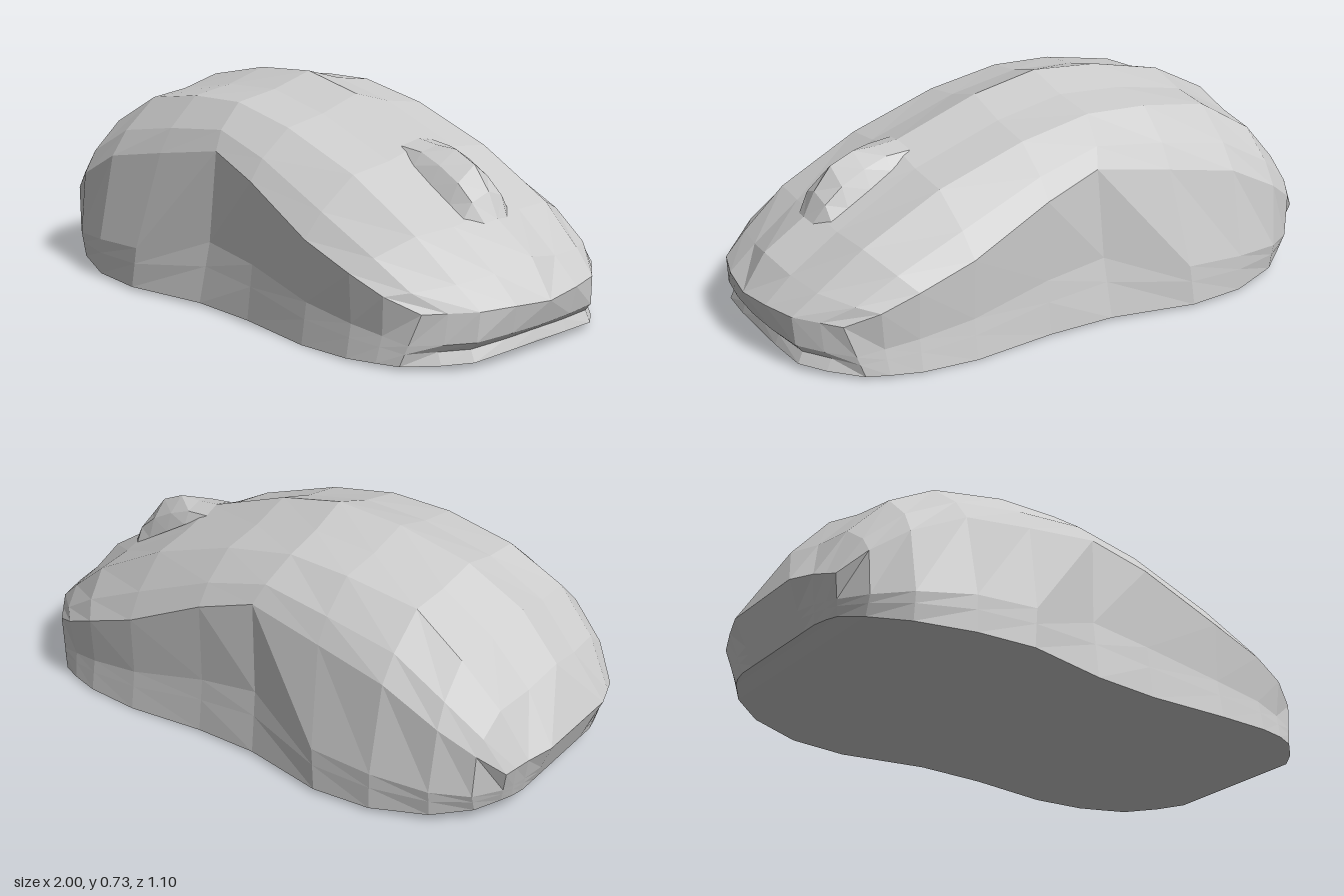
import * as THREE from 'three';

const V = (p) => new THREE.Vector3(...p);
const mirror = (p) => new THREE.Vector3(p.x, p.y, -p.z);

// Skin between neighbouring rows of points; optionally repeated on the other side
function skin(name, rows, mirrored = true) {
  const pos = [];
  const tri = (...pts) => pts.forEach((p) => pos.push(p.x, p.y, p.z));
  const quad = (a, b, c, d) => { tri(a, b, c); tri(a, c, d); };
  for (let r = 0; r < rows.length - 1; r++) {
    for (let s = 0; s < rows[r].length - 1; s++) {
      const [a, b, c, d] = [rows[r][s], rows[r][s + 1], rows[r + 1][s + 1], rows[r + 1][s]];
      quad(a, b, c, d);
      if (mirrored) quad(...[a, d, c, b].map(mirror));
    }
  }
  const geo = new THREE.BufferGeometry();
  geo.setAttribute('position', new THREE.Float32BufferAttribute(pos, 3));
  geo.computeVertexNormals();
  const mesh = new THREE.Mesh(geo, new THREE.MeshStandardMaterial({ color: 0xcccccc, flatShading: true }));
  mesh.name = name;
  return mesh;
}

// Row part-way between two rows, pushed by (dy, dz) except at its ends
const between = (a, b, t, dy, dz) => a.map((p, i) => {
  const q = p.clone().lerp(b[i], t);
  if (i > 0 && i < a.length - 1) { q.y += dy; q.z += dz; }
  return q;
});

export function createModel() {
  const group = new THREE.Group();
  group.name = 'computerMouse';

  // Lengthwise rails of the left half, from nose to tail
  const ridge = [
    [1, 0.17, 0], [0.92, 0.29, 0], [0.75, 0.4, 0], [0.46, 0.57, 0], [0.15, 0.68, 0], [-0.08, 0.725, 0],
    [-0.32, 0.705, 0], [-0.58, 0.645, 0], [-0.78, 0.54, 0], [-0.91, 0.39, 0], [-1, 0.2, 0],
  ].map(V);
  const shoulder = [
    [0.95, 0.18, 0.26], [0.87, 0.25, 0.28], [0.72, 0.37, 0.3], [0.45, 0.51, 0.3], [0.15, 0.61, 0.3], [-0.1, 0.655, 0.295],
    [-0.32, 0.645, 0.3], [-0.57, 0.6, 0.285], [-0.75, 0.49, 0.31], [-0.88, 0.35, 0.29], [-0.97, 0.19, 0.26],
  ].map(V);
  const side = [
    [0.84, 0.175, 0.395], [0.74, 0.22, 0.455], [0.62, 0.27, 0.48], [0.43, 0.335, 0.485], [0.15, 0.46, 0.46], [-0.05, 0.52, 0.435],
    [-0.32, 0.47, 0.455], [-0.57, 0.42, 0.47], [-0.76, 0.32, 0.455], [-0.87, 0.24, 0.405], [-0.94, 0.17, 0.34],
  ].map(V);
  const inner = between(ridge, shoulder, 0.5, -0.01, 0);
  inner[0].set(0.985, 0.18, 0.14);
  inner[10].set(-1, 0.2, 0.17);
  const upper = between(shoulder, side, 0.55, 0, 0.022);

  // Domed top
  const rails = [ridge, inner, shoulder, upper, side];
  group.add(skin('topShell', rails));

  // Skirt around the left half: lip, pinched belt, ledge and bottom edge
  const ends = rails.slice(0, 4);
  const lip = [...ends.map((r) => r[0]), ...side, ...ends.map((r) => r[10]).reverse()];
  const bottom = [
    [0.955, 0.036, 0], [0.955, 0.03, 0.13], [0.94, 0.022, 0.27], [0.88, 0.016, 0.35], [0.79, 0.01, 0.435], [0.72, 0.01, 0.465],
    [0.62, 0.005, 0.49], [0.43, 0, 0.5], [0.15, 0.005, 0.48], [-0.08, 0.01, 0.49], [-0.37, 0.01, 0.55], [-0.57, 0.01, 0.535],
    [-0.75, 0.02, 0.47], [-0.86, 0.035, 0.385], [-0.91, 0.05, 0.31], [-0.925, 0.05, 0.27], [-0.935, 0.05, 0.22],
    [-0.935, 0.05, 0.15], [-0.935, 0.05, 0],
  ].map(V);
  const belt = lip.map((p, i) => {
    const rear = i >= 10 && i <= 13;
    const q = p.clone().lerp(bottom[i], rear ? 0.7 : 0.6);
    if (rear) q.z += 0.018;
    else if (i >= 5 && i <= 9) q.z -= 0.015;
    return q;
  });
  // The ledge steps inwards under the nose only
  const ledge = belt.map((p, i) => {
    const q = p.clone().lerp(bottom[i], 0.4);
    if (i < 4) q.x -= 0.02;
    return q;
  });
  group.add(skin('skirt', [lip, belt, ledge, bottom]));

  // Underside
  group.add(skin('base', [bottom, bottom.map(mirror)], false));

  // Scroll wheel: tent-shaped hump blending into the top
  const crest = [
    [0.78, 0.38, 0], [0.74, 0.46, 0], [0.68, 0.535, 0], [0.6, 0.57, 0], [0.52, 0.57, 0], [0.44, 0.578, 0],
  ].map(V);
  const taper = [0.85, 1, 1, 1, 0.95, 0.7];
  const foot = crest.map((p, i) => new THREE.Vector3(p.x - 0.01, 0.365 + (0.78 - p.x) * 0.58, 0.1 * taper[i]));
  const cheek = between(crest, foot, 0.6, 0.018, 0.008);
  group.add(skin('scrollWheel', [crest, cheek, foot]));

  return group;
}
